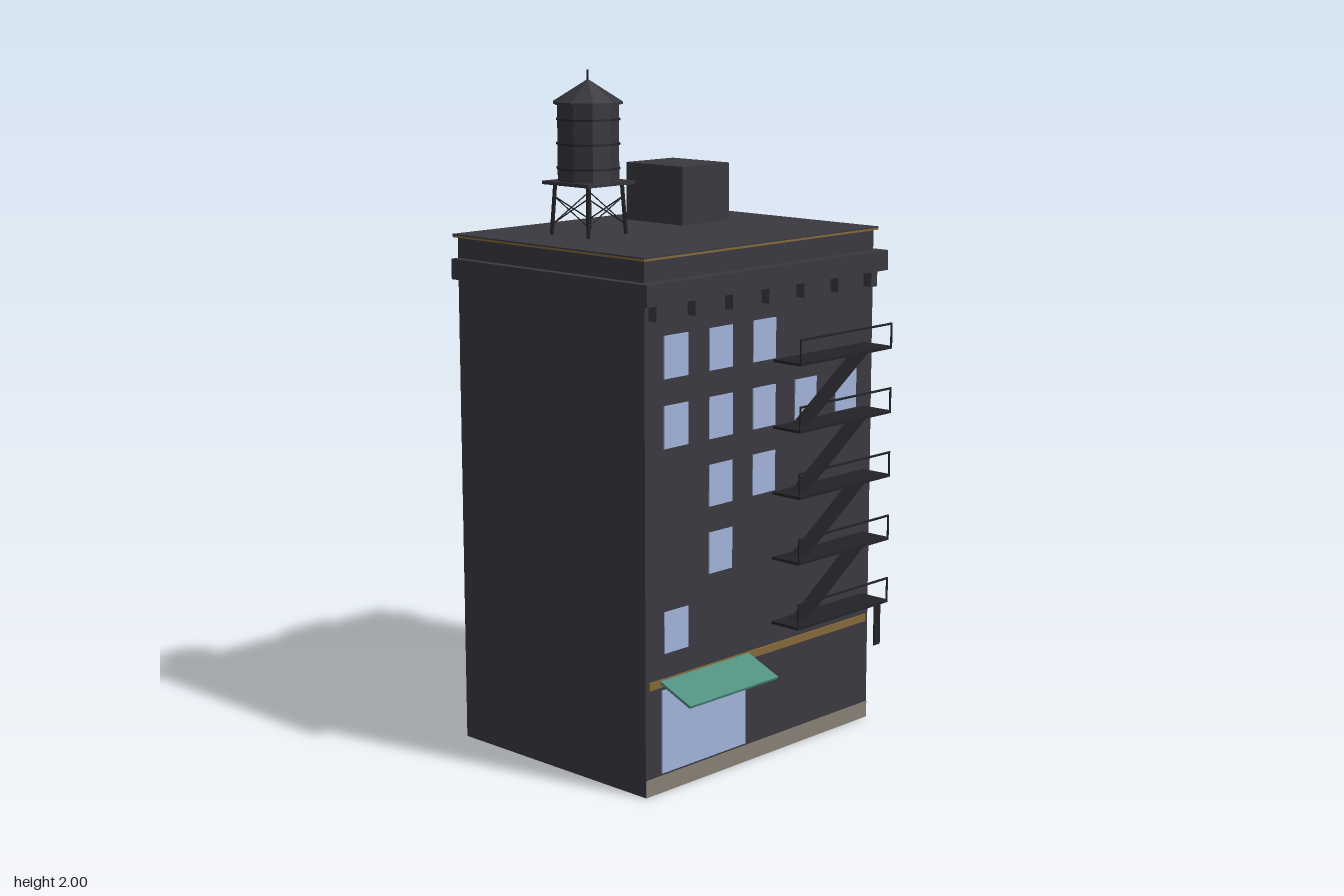
import * as THREE from 'three';

const mat = (name, color) => {
  const m = new THREE.MeshStandardMaterial({ color });
  m.name = name;
  return m;
};

export function createModel() {
  const wall = mat('dark wall', 0x3a3940);
  const metal = mat('black iron', 0x232328);
  const glass = mat('pale blue glass', 0xa2b4da);
  const green = mat('green awning', 0x4f9080);
  const ochre = mat('ochre trim', 0x856838);
  const stone = mat('grey stone', 0x877f73);
  const tankMat = mat('dark tank', 0x36353b);

  const model = new THREE.Group();
  model.name = 'building';
  const group = (name) => {
    const g = new THREE.Group();
    g.name = name;
    model.add(g);
    return g;
  };
  const add = (parent, name, geo, m) => {
    const mesh = new THREE.Mesh(geo, m);
    mesh.name = name;
    parent.add(mesh);
    return mesh;
  };
  // Box given by its low and high limits on each axis
  const box = (parent, name, m, x0, x1, y0, y1, z0, z1) => {
    const b = add(parent, name, new THREE.BoxGeometry(x1 - x0, y1 - y0, z1 - z0), m);
    b.position.set((x0 + x1) / 2, (y0 + y1) / 2, (z0 + z1) / 2);
    return b;
  };
  // Thin round bar between two points
  const bar = (parent, name, m, a, b, r) => {
    const from = new THREE.Vector3(...a), to = new THREE.Vector3(...b);
    const dir = to.clone().sub(from);
    const mesh = add(parent, name, new THREE.CylinderGeometry(r, r, dir.length(), 6), m);
    mesh.position.copy(from).add(to).multiplyScalar(0.5);
    mesh.quaternion.setFromUnitVectors(new THREE.Vector3(0, 1, 0), dir.normalize());
    return mesh;
  };

  const W = 0.487, F = 0.324, B = -0.434;

  // Walls, hollow foot and stone base
  const shell = group('shell');
  box(shell, 'walls', wall, -W, W, 0.05, 1.52, B, F);
  box(shell, 'floor', stone, -W + 0.004, W - 0.004, 0.044, 0.05, B + 0.004, F - 0.004);
  for (const s of [-1, 1]) {
    const x = s * (W - 0.002);
    box(shell, 'sideFoot', wall, x - 0.002, x + 0.002, 0, 0.05, B, F);
  }
  box(shell, 'backFoot', wall, -W, W, 0, 0.05, B, B + 0.004);
  box(shell, 'stoneBase', stone, -W, W, 0, 0.05, F - 0.004, F + 0.002);
  box(shell, 'trimBand', ochre, -0.475, 0.472, 0.312, 0.334, F, F + 0.006);

  // Cornice, brackets and roof edge
  const crown = group('crown');
  box(crown, 'cornice', wall, -0.513, 0.513, 1.398, 1.458, B, 0.36);
  for (let i = 0; i < 7; i++) {
    const x = -0.457 + i * 0.1523;
    box(crown, 'bracket', wall, x - 0.014, x + 0.014, 1.353, 1.398, F, 0.354);
  }
  box(crown, 'roofTrim', ochre, -0.497, 0.497, 1.518, 1.524, -0.445, 0.334);
  box(crown, 'roof', wall, -0.497, 0.497, 1.524, 1.528, -0.445, 0.334);
  box(crown, 'stairHouse', wall, 0.108, 0.312, 1.528, 1.703, -0.336, -0.1);

  // Lit windows: [column, row] on the front, [z, y] on the side
  const windows = group('windows');
  const columns = [-0.365, -0.183, 0, 0.182, 0.365];
  const rows = [1.246, 1.051, 0.857, 0.661, 0.466];
  const lit = [[0, 0], [1, 0], [2, 0], [0, 1], [1, 1], [2, 1], [3, 1], [4, 1], [1, 2], [2, 2], [1, 3], [0, 4]];
  for (const [c, r] of lit) {
    const x = columns[c], y = rows[r];
    box(windows, 'frontWindow', glass, x - 0.048, x + 0.048, y - 0.06, y + 0.06, F, F + 0.003);
  }
  for (const [z, y] of [[0.148, 1.246], [-0.257, 1.246], [-0.053, 0.661], [-0.257, 0.661]]) {
    box(windows, 'sideWindow', glass, W, W + 0.003, y - 0.06, y + 0.06, z - 0.052, z + 0.052);
  }

  // Shop window and sloping awning
  const shop = group('shop');
  box(shop, 'shopWindow', glass, -0.424, -0.075, 0.057, 0.3, F, F + 0.004);
  const slope = Math.atan2(0.048, 0.117);
  const awning = add(shop, 'awning', new THREE.BoxGeometry(0.368, 0.008, 0.128), green);
  awning.position.set(-0.249, 0.305, 0.384);
  awning.rotation.x = slope;

  // Fire escape: platforms, open rails, stairs and drop ladder
  const escape = group('fireEscape');
  const x0 = 0.041, x1 = 0.456, zOut = 0.427;
  for (let i = 0; i < 5; i++) {
    const y = 0.4 + i * 0.195;
    box(escape, 'platform', metal, x0, x1, y - 0.005, y + 0.003, F, zOut);
    box(escape, 'topRail', metal, x0, x1, y + 0.067, y + 0.073, zOut - 0.004, zOut);
    for (const x of [x0, x1 - 0.005]) {
      box(escape, 'railPost', metal, x, x + 0.005, y, y + 0.07, zOut - 0.004, zOut);
    }
    if (i < 4) {
      const run = 0.29, rise = 0.195;
      const stair = add(escape, 'stair', new THREE.BoxGeometry(Math.hypot(run, rise), 0.007, 0.052), metal);
      stair.position.set(0.24, y + rise / 2, 0.375);
      stair.rotation.z = Math.atan2(rise, run);
    }
  }
  box(escape, 'dropLadder', metal, 0.41, 0.438, 0.265, 0.4, 0.41, 0.414);

  // Water tower
  const tower = group('waterTower');
  tower.position.set(-0.229, 0, -0.154);
  box(tower, 'towerDeck', tankMat, -0.094, 0.094, 1.673, 1.683, -0.095, 0.095);
  const corners = [[-1, -1], [1, -1], [1, 1], [-1, 1]];
  corners.forEach(([sx, sz], i) => {
    bar(tower, 'leg', metal, [sx * 0.076, 1.527, sz * 0.076], [sx * 0.068, 1.675, sz * 0.068], 0.006);
    // Crossed braces on each face
    const [nx, nz] = corners[(i + 1) % 4];
    const r = 0.072;
    bar(tower, 'brace', metal, [sx * r, 1.56, sz * r], [nx * r, 1.64, nz * r], 0.002);
    bar(tower, 'brace', metal, [sx * r, 1.64, sz * r], [nx * r, 1.56, nz * r], 0.002);
  });
  const drum = (name, m, rTop, rBottom, y0, y1) => {
    const geo = new THREE.CylinderGeometry(rTop, rBottom, y1 - y0, 10).toNonIndexed();
    geo.computeVertexNormals();
    add(tower, name, geo, m).position.y = (y0 + y1) / 2;
  };
  drum('tank', tankMat, 0.09, 0.09, 1.683, 1.908);
  for (const y of [1.72, 1.79, 1.86]) drum('hoop', metal, 0.094, 0.094, y - 0.003, y + 0.003);
  drum('tankRim', tankMat, 0.102, 0.102, 1.903, 1.91);
  drum('tankRoof', tankMat, 0.001, 0.102, 1.91, 1.973);
  bar(tower, 'finial', metal, [0, 1.96, 0], [0, 2, 0], 0.003);

  return model;
}
